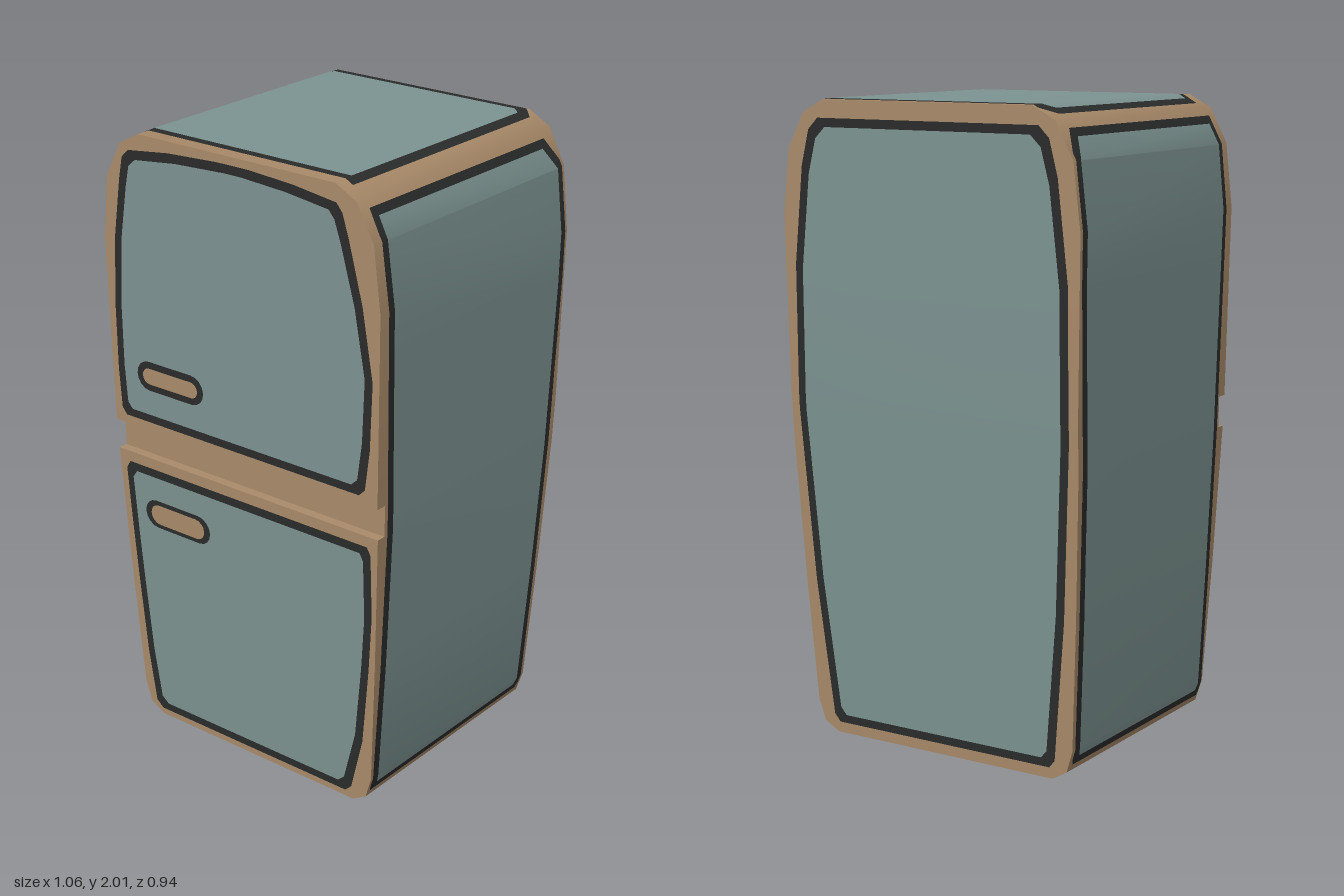
import * as THREE from 'three';
import { toCreasedNormals } from 'three/addons/utils/BufferGeometryUtils.js';

// Body silhouette tables: [height, value]
const HALF_WIDTH = [[0, 0.4], [0.03, 0.45], [0.1, 0.472], [0.5, 0.495], [0.95, 0.515], [1.65, 0.526],
  [1.85, 0.503], [1.96, 0.445], [2, 0.37]];
const FRONT = [[0, 0.42], [0.95, 0.455], [1.05, 0.46], [2, 0.47]];
const BACK = [[0, -0.395], [1.1, -0.455], [2, -0.467]];
const TOP = [[-0.445, 1.96], [-0.37, 2], [0.37, 2], [0.445, 1.96]];
const BOTTOM = [[-0.4, 0], [0.4, 0]];
const GAP_LOW = 0.95, GAP_HIGH = 1.05, GAP_Z = 0.424;

// Linear lookup of column c in a table sorted by its first column
function lookup(table, t, c = 1) {
  let i = 1;
  while (i < table.length - 1 && t > table[i][0]) i++;
  const a = table[i - 1], b = table[i];
  const k = THREE.MathUtils.clamp((t - a[0]) / (b[0] - a[0]), 0, 1);
  return a[c] + (b[c] - a[c]) * k;
}

function mesh(name, positions, index, material) {
  const g = new THREE.BufferGeometry();
  g.setAttribute('position', new THREE.Float32BufferAttribute(positions, 3));
  g.setIndex(index);
  const m = new THREE.Mesh(toCreasedNormals(g, 0.75), material);
  m.name = name;
  return m;
}

// Cabinet: four-cornered rings stacked upwards, with the gap cut in the front
function cabinet(material) {
  const rings = [];
  const add = (y, zf = lookup(FRONT, y)) => rings.push([y, zf]);
  const ys = [...HALF_WIDTH.map(r => r[0]), GAP_HIGH, 1.1].sort((a, b) => a - b);
  for (const y of ys) {
    if (y === GAP_HIGH) add(y, GAP_Z);
    add(y);
    if (y === GAP_LOW) add(y, GAP_Z);
  }
  const p = [], index = [];
  for (const [y, zf] of rings) {
    const w = lookup(HALF_WIDTH, y), zb = lookup(BACK, y);
    p.push(w, y, zf, w, y, zb, -w, y, zb, -w, y, zf);
  }
  for (let r = 0; r < rings.length - 1; r++) {
    for (let k = 0; k < 4; k++) {
      const a = r * 4 + k, b = r * 4 + (k + 1) % 4;
      index.push(a, b, b + 4, a, b + 4, a + 4);
    }
  }
  const n = (rings.length - 1) * 4;
  index.push(n, n + 1, n + 2, n, n + 2, n + 3, 0, 2, 1, 0, 3, 2);
  return mesh('cabinet', p, index, material);
}

// Painted plate: rows [t, uMin, uMax], bent at the body's own break lines
function plate(name, rows, breaks, place, lift, material) {
  const first = rows[0][0], last = rows[rows.length - 1][0];
  const ts = [...new Set([...rows.map(r => r[0]), ...breaks.map(b => b[0]).filter(t => t > first && t < last)])]
    .sort((a, b) => a - b);
  const p = [], index = [];
  ts.forEach((t, i) => {
    p.push(...place(lookup(rows, t, 1), t, lift), ...place(lookup(rows, t, 2), t, lift));
    if (i) {
      const a = i * 2 - 2;
      index.push(a, a + 1, a + 3, a, a + 3, a + 2);
    }
  });
  return mesh(name, p, index, material);
}

function inset(rows, d) {
  const a = rows[0][0], b = rows[rows.length - 1][0], k = (b - a - 2 * d) / (b - a);
  return rows.map(([t, lo, hi]) => [a + d + (t - a) * k, lo + d, hi - d]);
}

export function createModel() {
  const color = (name, hex, side) => {
    const m = new THREE.MeshStandardMaterial({ color: hex });
    m.name = name;
    if (side) m.side = side;
    return m;
  };
  const tan = color('tan trim', 0xa98a69, THREE.DoubleSide);
  const teal = color('grey teal panel', 0x7c9391, THREE.DoubleSide);
  const dark = color('dark outline', 0x2a2b2b, THREE.DoubleSide);

  const group = new THREE.Group();
  group.name = 'refrigerator';
  group.add(cabinet(tan));

  // Surfaces the plates lie on
  const onFront = (u, t, e) => [u, t, lookup(FRONT, t) + e];
  const onBack = (u, t, e) => [u, t, lookup(BACK, t) - e];
  const onSide = s => (u, t, e) => [s * (lookup(HALF_WIDTH, t) + e), t, u];
  const onTop = (u, t, e) => [t, lookup(TOP, t) + e, u];
  const onBottom = (u, t, e) => [t, -e, u];

  const panel = (name, rows, breaks, place, d = 0.027) => {
    const g = new THREE.Group();
    g.name = name;
    g.add(plate(name + 'Outline', rows, breaks, place, 0.0015, dark));
    g.add(plate(name + 'Face', inset(rows, d), breaks, place, 0.003, teal));
    group.add(g);
  };

  // Doors
  panel('upperDoor', [[1.078, -0.47, 0.45], [1.1, -0.487, 0.472], [1.23, -0.495, 0.49], [1.44, -0.495, 0.5],
    [1.66, -0.482, 0.465], [1.85, -0.452, 0.417], [1.92, -0.437, 0.395], [1.945, -0.41, 0.375],
    [1.965, -0.25, 0.22], [1.975, -0.06, 0.06]], FRONT, onFront);
  panel('lowerDoor', [[0.022, -0.4, 0.37], [0.045, -0.425, 0.395], [0.23, -0.448, 0.443], [0.49, -0.466, 0.472],
    [0.68, -0.477, 0.488], [0.89, -0.487, 0.488], [0.915, -0.47, 0.475]], FRONT, onFront);

  // Back, sides, top and underside
  panel('back', [[0.035, -0.39, 0.39], [0.06, -0.41, 0.41], [0.5, -0.455, 0.455], [1.05, -0.487, 0.487],
    [1.5, -0.485, 0.485], [1.8, -0.453, 0.453], [1.91, -0.425, 0.425], [1.945, -0.39, 0.39]], BACK, onBack);
  for (const s of [1, -1]) {
    panel(s > 0 ? 'leftSide' : 'rightSide', [[0.05, -0.375, 0.41], [0.07, -0.385, 0.415], [0.5, -0.405, 0.412],
      [1, -0.427, 0.412], [1.5, -0.45, 0.425], [1.87, -0.452, 0.434], [1.937, -0.415, 0.432]],
    HALF_WIDTH, onSide(s), 0.024);
  }
  panel('top', [[-0.42, -0.405, 0.42], [-0.385, -0.462, 0.425], [0.36, -0.462, 0.425], [0.396, -0.43, 0.425]],
    TOP, onTop, 0.026);
  panel('underside', [[-0.375, -0.36, 0.38], [0.375, -0.36, 0.38]], BOTTOM, onBottom, 0.024);

  // Painted door handles: rounded slots with a dark rim
  const slot = (y, x0, x1, h) => Array.from({ length: 9 }, (_, i) => {
    const a = -Math.PI / 2 + i * Math.PI / 8, c = h * (1 - Math.cos(a));
    return [y + h * Math.sin(a), x0 + c, x1 - c];
  });
  for (const [name, y, h] of [['upperHandle', 1.236, 0.026], ['lowerHandle', 0.76, 0.034]]) {
    group.add(plate(name + 'Rim', slot(y, -0.412, -0.142, 0.048), FRONT, onFront, 0.0045, dark));
    group.add(plate(name, slot(y, -0.388, -0.165, h), FRONT, onFront, 0.006, tan));
  }
  return group;
}
